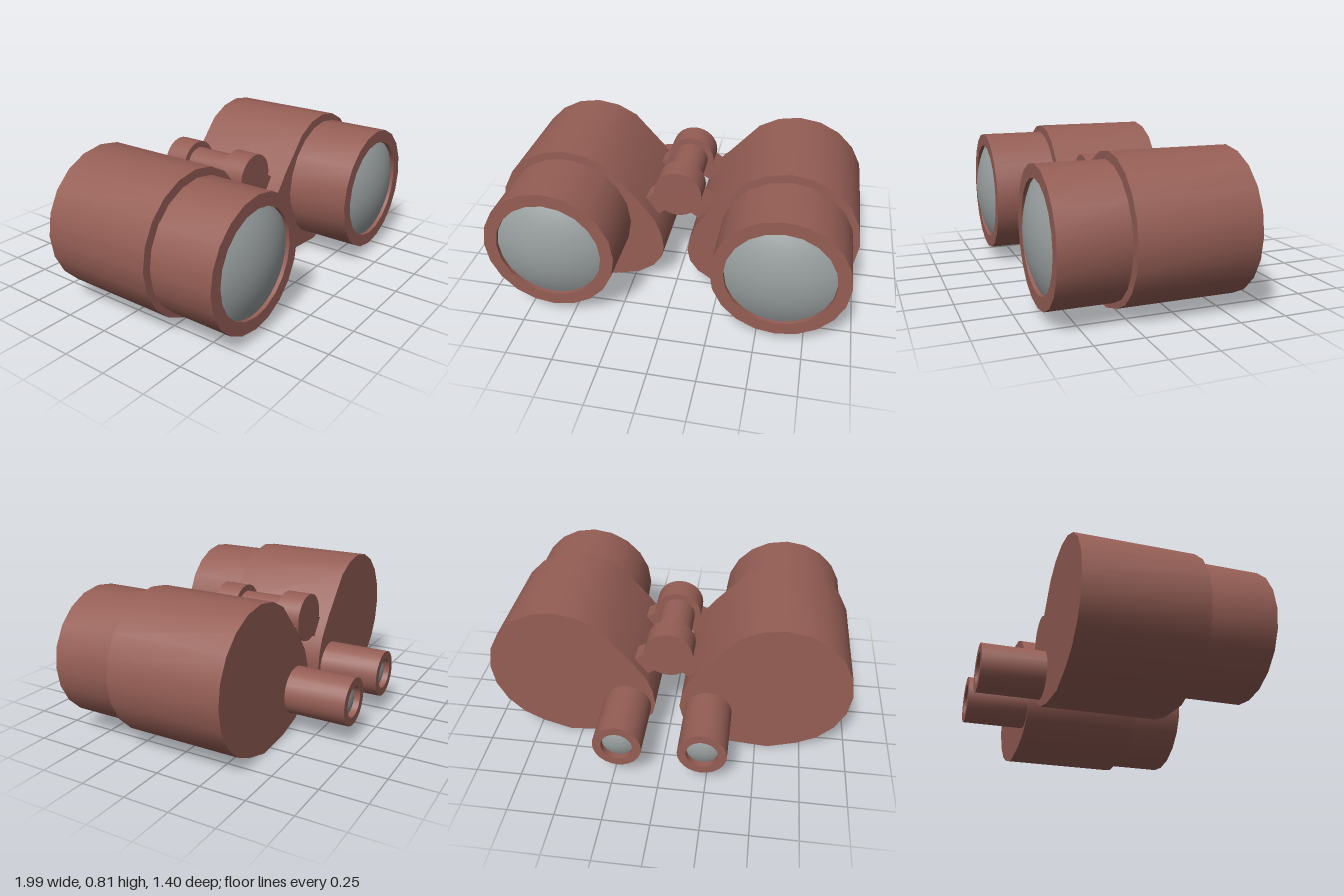
import * as THREE from 'three';
import { toCreasedNormals } from 'three/addons/utils/BufferGeometryUtils.js';

const shell = new THREE.MeshStandardMaterial({ color: 0x955e55 });
const glass = new THREE.MeshStandardMaterial({ color: 0x9aa0a0 });

function add(parent, name, geometry, material, x = 0, y = 0, z = 0) {
  const mesh = new THREE.Mesh(geometry, material);
  mesh.name = name;
  mesh.position.set(x, y, z);
  parent.add(mesh);
  return mesh;
}

// Lathe along z; dir = 1 opens to the front, -1 to the back
function latheZ(points, segments, dir, crease = 0.6) {
  const profile = points.map(([r, h]) => new THREE.Vector2(r, h));
  const geometry = new THREE.LatheGeometry(profile, segments);
  geometry.rotateX(dir * Math.PI / 2);
  return toCreasedNormals(geometry, crease);
}

// Closed tube with a shallow recess in its far end
const tube = (r, inner, length, recess, segments, dir) => latheZ(
  [[0, 0], [r, 0], [r, length], [inner, length], [inner, length - recess]], segments, dir);

// Spherical cap of given rim radius and bulge, rim at 0
function lens(r, bulge, dir) {
  const R = (r * r + bulge * bulge) / (2 * bulge);
  const points = [];
  for (let i = 0; i <= 8; i++) {
    const a = Math.asin(r / R) * (1 - i / 8);
    points.push([R * Math.sin(a), R * Math.cos(a) - R + bulge]);
  }
  return latheZ(points, 32, dir, 1);
}

// Prism housing: round outer side with a lobe reaching down to the middle
function housing(side) {
  const points = [];
  for (let i = -5; i <= 7; i++) {
    const a = i * Math.PI / 10;
    points.push([0.605 + 0.39 * Math.cos(a), 0.42 + 0.39 * Math.sin(a)]);
  }
  points.push([0.2, 0.54], [0.115, 0.425], [0.08, 0.335], [0.068, 0.25], [0.083, 0.18],
    [0.13, 0.115], [0.22, 0.055], [0.36, 0.018], [0.57, 0.002]);
  // Replace the lowest arc points with the slightly flattened underside
  points.shift();
  const shape = new THREE.Shape(points.map(([x, y]) => new THREE.Vector2(x * side, y)));
  const geometry = new THREE.ExtrudeGeometry(shape, { depth: 0.645, bevelEnabled: false });
  return toCreasedNormals(geometry, 0.6);
}

export function createModel() {
  const model = new THREE.Group();
  model.name = 'binoculars';

  for (const side of [1, -1]) {
    const half = new THREE.Group();
    half.name = side > 0 ? 'leftHalf' : 'rightHalf';
    model.add(half);
    const x = 0.605 * side;
    add(half, 'housing', housing(side), shell, 0, 0, -0.36);
    add(half, 'objectiveBarrel', tube(0.355, 0.285, 0.355, 0.04, 20, 1), shell, x, 0.415, 0.295);
    add(half, 'objectiveLens', lens(0.285, 0.069, 1), glass, x, 0.415, 0.628);

    const ex = side > 0 ? 0.222 : -0.228;
    add(half, 'eyepiece', tube(0.131, 0.085, 0.345, 0.05, 24, -1), shell, ex, 0.23, -0.355);
    add(half, 'eyepieceLens', lens(0.085, 0.02, -1), glass, ex, 0.23, -0.665);

    // Arms tying the housing to the hinge
    for (const z of [-0.255, 0.148]) {
      const arm = new THREE.BoxGeometry(0.23, 0.118, 0.108);
      arm.translate(0.115, 0, 0);
      if (side < 0) arm.rotateY(Math.PI);
      add(half, 'hingeArm', arm, shell, 0, 0.57, z).rotation.z = -0.59 * side;
    }
  }

  // Central hinge: a spindle between two knuckles
  const hinge = latheZ([
    [0, -0.325], [0.133, -0.325], [0.133, -0.185], [0.098, -0.185],
    [0.098, 0.075], [0.133, 0.075], [0.133, 0.217], [0, 0.217],
  ], 32, 1);
  add(model, 'hinge', hinge, shell, -0.002, 0.57, 0);

  return model;
}
